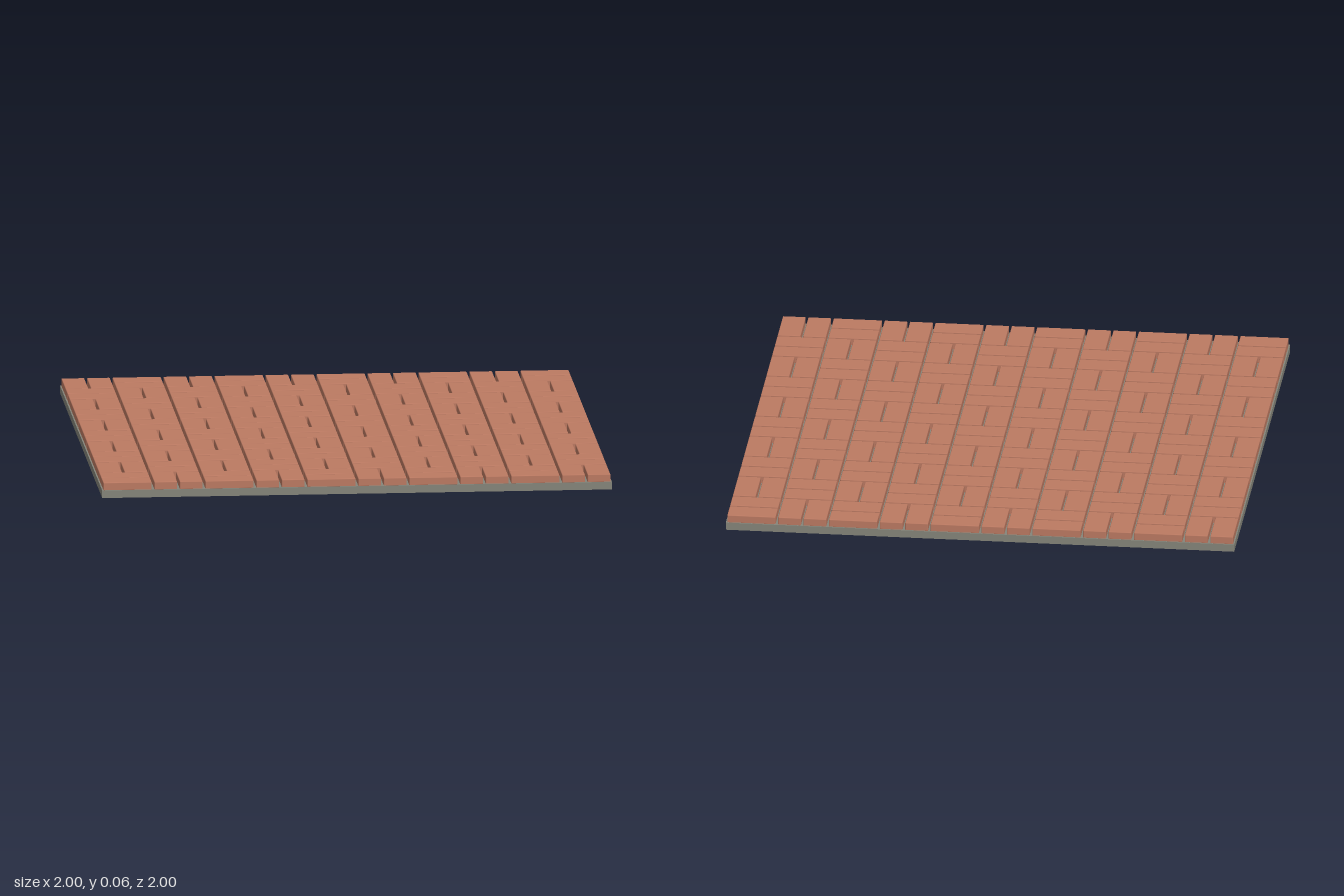
import * as THREE from 'three';
import { RoundedBoxGeometry } from 'three/addons/geometries/RoundedBoxGeometry.js';

const CELLS = 10;
const CELL = 2 / CELLS;
const GAP = 0.01;
const BASE_HEIGHT = 0.03;
const BRICK_HEIGHT = 0.032;

export function createModel() {
  const group = new THREE.Group();
  group.name = 'brickPavement';

  // Mortar bed under the bricks
  const mortar = new THREE.MeshStandardMaterial({ color: 0x85857a });
  const base = new THREE.Mesh(new THREE.BoxGeometry(2, BASE_HEIGHT, 2), mortar);
  base.name = 'mortarBase';
  base.position.y = BASE_HEIGHT / 2;
  group.add(base);

  // One softly edged brick shape, shared by all bricks
  const clay = new THREE.MeshStandardMaterial({ color: 0xbc7a62 });
  const brickGeometry = new RoundedBoxGeometry(CELL - GAP, BRICK_HEIGHT, CELL / 2 - GAP, 1, 0.003);

  // Basket weave: pairs of bricks turned a quarter in every other cell
  const bricks = new THREE.Group();
  bricks.name = 'bricks';
  group.add(bricks);
  for (let row = 0; row < CELLS; row++) {
    for (let col = 0; col < CELLS; col++) {
      const pair = new THREE.Group();
      pair.name = 'brickPair';
      pair.position.set(-1 + (col + 0.5) * CELL, 0.06 - BRICK_HEIGHT / 2, -1 + (row + 0.5) * CELL);
      if ((row + col) % 2 === 0) pair.rotation.y = Math.PI / 2;
      for (const side of [-1, 1]) {
        const brick = new THREE.Mesh(brickGeometry, clay);
        brick.name = 'brick';
        brick.position.z = side * CELL / 4;
        pair.add(brick);
      }
      bricks.add(pair);
    }
  }
  return group;
}
